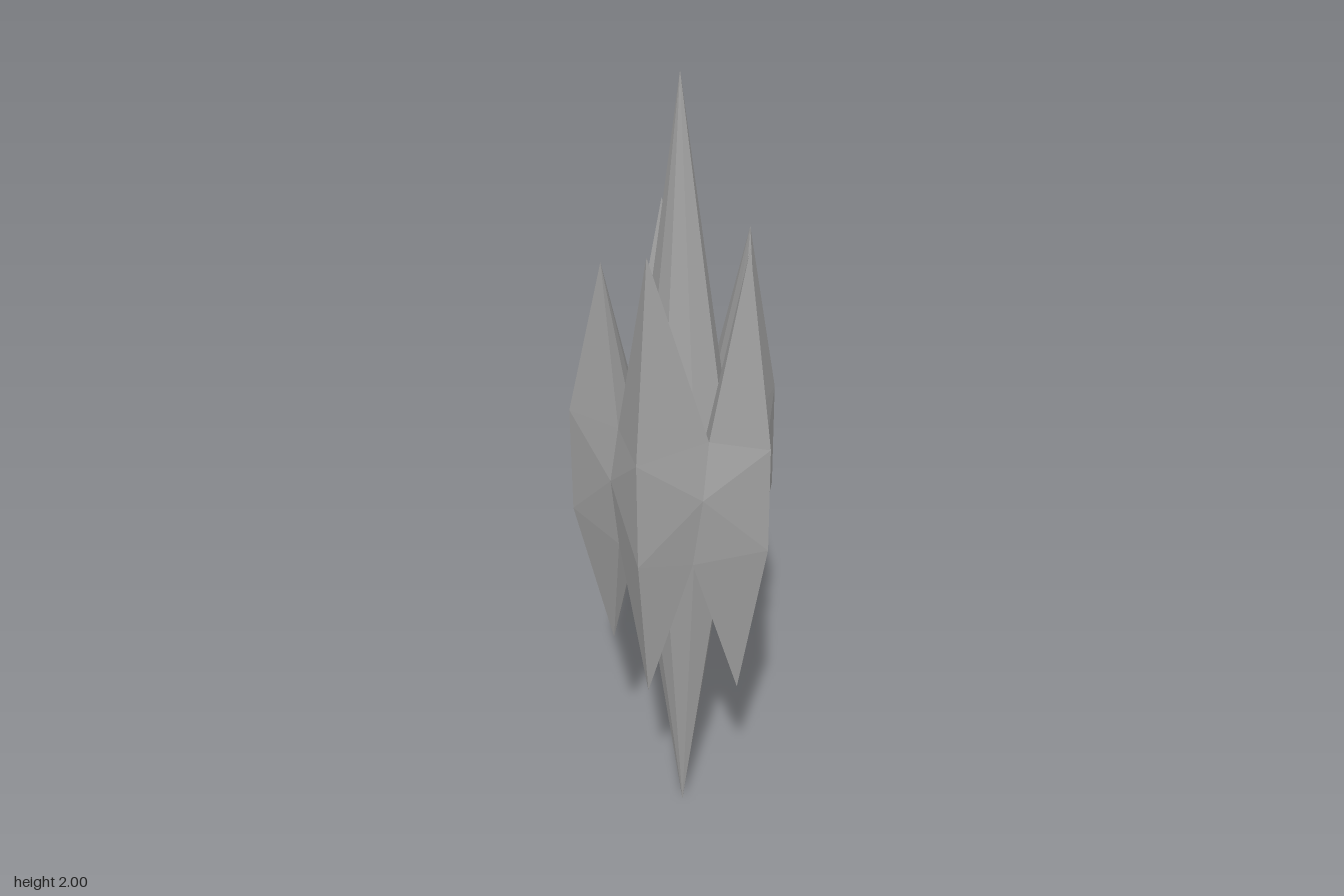
import * as THREE from 'three';

// Plan positions [x, z], five per ring, counter-clockwise seen from above
const outer = [[0.24, 0], [0.057, -0.25], [-0.236, -0.157], [-0.237, 0.152], [0.057, 0.25]];
const inner = [[0.093, 0], [0.01, -0.108], [-0.11, -0.065], [-0.11, 0.063], [0.015, 0.118]];
const notch = [[0.08, -0.07], [-0.055, -0.113], [-0.137, 0.005], [-0.06, 0.12], [0.07, 0.08]];
const valley = [[0.12, -0.1], [-0.075, -0.165], [-0.2, 0.01], [-0.06, 0.175], [0.115, 0.118]];
const lowValley = [[0.115, -0.1], [-0.08, -0.165], [-0.2, 0], [-0.1, 0.17], [0.1, 0.118]];
const girdle = [[0.14, -0.11], [-0.08, -0.195], [-0.218, 0], [-0.085, 0.19], [0.135, 0.115]];

// Shard tips [x, y, z]
const upperTips = [[0.16, 1.61, 0], [0.03, 1.65, -0.17], [-0.17, 1.56, -0.105], [-0.175, 1.65, 0.105], [0.035, 1.65, 0.185]];
const lowerTips = [[0.15, 0.5, 0], [0.03, 0.44, -0.165], [-0.165, 0.53, -0.1], [-0.19, 0.51, 0.11], [0.03, 0.47, 0.17]];

const raise = (ring, y) => ring.map(([x, z]) => [x, y, z]);

// Flat facets from a centre point to a closed loop of points
function fan(name, material, centre, loop, flip = false) {
  const points = [];
  loop.forEach((p, i) => {
    const q = loop[(i + 1) % loop.length];
    points.push(...centre, ...(flip ? q : p), ...(flip ? p : q));
  });
  const geometry = new THREE.BufferGeometry();
  geometry.setAttribute('position', new THREE.Float32BufferAttribute(points, 3));
  geometry.computeVertexNormals();
  const mesh = new THREE.Mesh(geometry, material);
  mesh.name = name;
  return mesh;
}

export function createModel() {
  const model = new THREE.Group();
  model.name = 'crystalCluster';
  const stone = new THREE.MeshStandardMaterial({ color: 0xa0a0a0 });
  stone.name = 'grey crystal';

  const halves = [
    { name: 'upper', peak: [-0.025, 2, 0], tips: upperTips, flip: false,
      O: raise(outer, 1.18), V: raise(valley, 1.2), W: raise(notch, 1.08), I: raise(inner, 1.2) },
    { name: 'lower', peak: [-0.025, 0, 0], tips: lowerTips, flip: true,
      O: raise(outer, 0.91), V: raise(lowValley, 0.88), W: raise(notch, 0.94), I: raise(inner, 0.82) },
  ];

  for (const { name, peak, tips, flip, O, V, W, I } of halves) {
    // Central spire
    model.add(fan(name + 'Spire', stone, peak, I.flatMap((p, k) => [p, W[k]]), flip));
    // Ring of shards
    tips.forEach((tip, k) => {
      const b = (k + 4) % 5;
      model.add(fan(name + 'Shard', stone, tip, [O[k], V[k], W[k], I[k], W[b], V[b]], flip));
    });
  }

  // Faceted panels around the waist, between neighbouring shards
  const [up, low] = halves;
  raise(girdle, 1.06).forEach((node, k) => {
    const j = (k + 1) % 5;
    model.add(fan('waistPanel', stone, node, [low.O[k], low.V[k], low.O[j], up.O[j], up.V[k], up.O[k]]));
  });
  return model;
}
